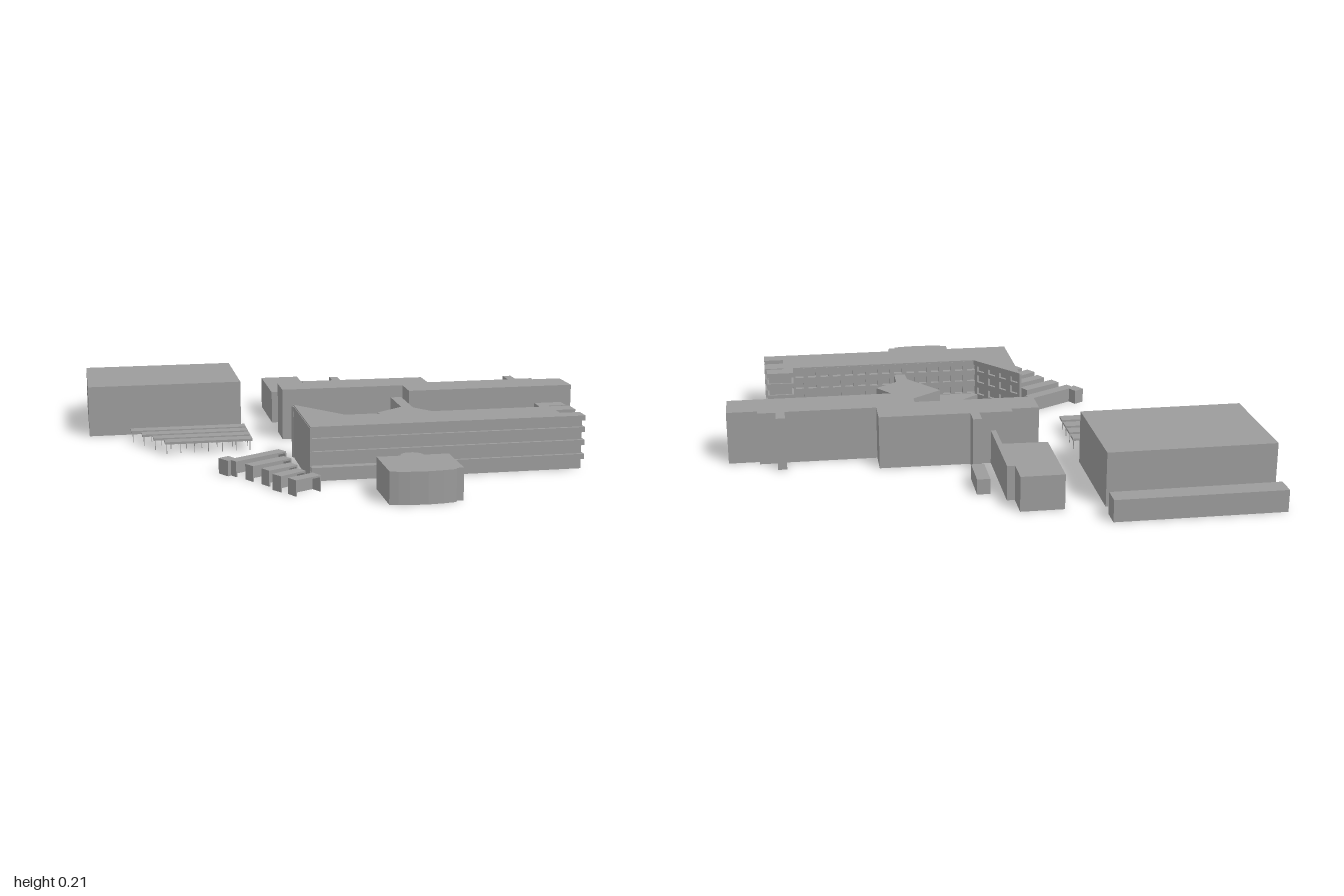
import * as THREE from 'three';

const material = new THREE.MeshStandardMaterial({ color: 0x9c9c9c, flatShading: true, side: THREE.DoubleSide });
const toPoints = outline => outline.map(([x, z]) => new THREE.Vector2(x, -z));

// Prism over a ground outline of [x, z] corners; open shells lose their underside.
function prism(parent, name, outline, y0, y1, { open = false, hole = null } = {}) {
  const shape = new THREE.Shape(toPoints(outline));
  if (hole) shape.holes.push(new THREE.Path(toPoints(hole)));
  let geo = new THREE.ExtrudeGeometry(shape, { depth: y1 - y0, bevelEnabled: false });
  geo.rotateX(-Math.PI / 2);
  if (open) {
    const p = geo.attributes.position.array, kept = [];
    for (let i = 0; i < p.length; i += 9) {
      if (Math.max(p[i + 1], p[i + 4], p[i + 7]) > 1e-5) kept.push(...p.slice(i, i + 9));
    }
    geo = new THREE.BufferGeometry();
    geo.setAttribute('position', new THREE.Float32BufferAttribute(kept, 3));
    geo.computeVertexNormals();
  }
  const mesh = new THREE.Mesh(geo, material);
  mesh.name = name;
  mesh.position.y = y0;
  parent.add(mesh);
}

const rect = (x0, x1, z0, z1) => [[x0, z0], [x1, z0], [x1, z1], [x0, z1]];
const shell = (parent, name, outline, h) => prism(parent, name, outline, 0, h, { open: true });

// Wall panel with a grid of square window openings, standing in the XY plane.
function windowWall(name, length, columns, thickness) {
  const wall = new THREE.Shape([[0, 0], [length, 0], [length, 0.205], [0, 0.205]].map(p => new THREE.Vector2(...p)));
  const step = length / columns;
  for (let c = 0; c < columns; c++) {
    for (const [y0, y1] of [[0.062, 0.092], [0.116, 0.147], [0.165, 0.187]]) {
      const x0 = step * (c + 0.18), x1 = step * (c + 0.82);
      wall.holes.push(new THREE.Path([[x0, y0], [x0, y1], [x1, y1], [x1, y0]].map(p => new THREE.Vector2(...p))));
    }
  }
  const mesh = new THREE.Mesh(new THREE.ExtrudeGeometry(wall, { depth: thickness, bevelEnabled: false }), material);
  mesh.name = name;
  return mesh;
}

function addMainBuilding(root) {
  const g = new THREE.Group();
  g.name = 'mainBuilding';
  // Outline with the notched east end and the stair bay, and the recessed storeys within it
  const outer = [[-0.21, 0.38], [0.73, 0.38], [0.73, 0.31], [0.84, 0.31], [0.84, 0.37], [0.77, 0.37], [0.77, 0.38],
    [0.85, 0.38], [0.85, 0.45], [0.77, 0.45], [0.77, 0.5], [0.85, 0.5], [0.85, 0.563], [-0.21, 0.563]];
  const body = [[-0.205, 0.4], [0.738, 0.4], [0.738, 0.318], [0.832, 0.318], [0.832, 0.362], [0.762, 0.362],
    [0.762, 0.388], [0.842, 0.388], [0.842, 0.442], [0.762, 0.442], [0.762, 0.508], [0.842, 0.508], [0.842, 0.55], [-0.205, 0.55]];
  shell(g, 'storeyWalls', body, 0.205);
  for (const top of [0.06, 0.115, 0.165]) prism(g, 'floorBand', outer, top - 0.02, top, { hole: body });
  prism(g, 'roof', outer, 0.19, 0.21);
  // Rear window facade
  const rear = windowWall('rearWindowWall', 0.79, 15, 0.018);
  rear.position.set(-0.06, 0, 0.379);
  g.add(rear);
  // Entrance canopy
  prism(g, 'frontCanopy', rect(-0.21, 0.085, 0.55, 0.585), 0.044, 0.06);
  // Pointed corner wing: plain end wall, windows along the slanted face
  shell(g, 'cornerWing', [[-0.208, 0.19], [-0.057, 0.385], [-0.208, 0.385]], 0.2);
  prism(g, 'cornerWingRoof', [[-0.21, 0.165], [-0.06, 0.36], [-0.045, 0.38], [-0.21, 0.38]], 0.19, 0.21);
  prism(g, 'plainEndWall', rect(-0.212, -0.204, 0.172, 0.561), 0, 0.205);
  const slanted = windowWall('slantedWindowWall', 0.26, 4, 0.012);
  slanted.rotation.y = -Math.atan2(0.195, 0.15);
  slanted.position.set(-0.21, 0, 0.165);
  g.add(slanted);
  root.add(g);
}

// Long shelter roof on a row of thin posts
function addShelter(root, x0, x1, z0, z1) {
  const g = new THREE.Group();
  g.name = 'shelter';
  prism(g, 'shelterRoof', rect(x0, x1, z0, z1), 0.044, 0.053);
  const bays = 6;
  for (let i = 0; i <= bays; i++) {
    const post = new THREE.Mesh(new THREE.BoxGeometry(0.003, 0.044, 0.003), material);
    post.name = 'shelterPost';
    post.position.set(x0 + 0.008 + (x1 - x0 - 0.016) * i / bays, 0.022, (z0 + z1) / 2);
    g.add(post);
  }
  root.add(g);
}

// Open-fronted hut running between two ground points
function addHut(root, [ax, az], [bx, bz]) {
  const g = new THREE.Group();
  g.name = 'hut';
  const len = Math.hypot(bx - ax, bz - az), w = 0.047;
  prism(g, 'hutRoof', rect(-len / 2, len / 2, -w / 2, w / 2), 0.053, 0.06);
  prism(g, 'hutRearWall', rect(-len / 2, len / 2, -w / 2, -w / 2 + 0.005), 0, 0.053);
  for (const s of [-1, 1]) {
    const x = s * (len / 2 - 0.0025);
    prism(g, 'hutEndWall', rect(x - 0.0025, x + 0.0025, -w / 2 + 0.005, w / 2), 0, 0.053);
  }
  g.position.set((ax + bx) / 2, 0, (az + bz) / 2);
  g.rotation.y = -Math.atan2(bz - az, bx - ax);
  root.add(g);
}

export function createModel() {
  const root = new THREE.Group();
  root.name = 'buildingComplex';

  addMainBuilding(root);

  // Large hall and low annex behind it
  shell(root, 'largeHall', [[-1, -0.785], [-0.36, -0.79], [-0.36, -0.34], [-1, -0.335]], 0.21);
  shell(root, 'rearAnnex', [[-1, -0.93], [-0.355, -0.93], [-0.355, -0.855], [-1, -0.85]], 0.085);

  // Rear wing in two staggered lengths
  shell(root, 'rearWing', [[-0.21, -0.27], [-0.1, -0.27], [-0.1, -0.3], [0.42, -0.295], [0.42, -0.18], [0.775, -0.18],
    [0.775, -0.255], [0.81, -0.255], [0.81, -0.185], [0.88, -0.185], [0.88, -0.16], [1, -0.16], [1, -0.015],
    [0.3, -0.015], [0.3, -0.135], [-0.21, -0.135]], 0.21);
  shell(root, 'stairTower', rect(0.03, 0.065, -0.37, -0.295), 0.21);

  // Small blocks and passage behind the rear wing
  shell(root, 'rearBlock', [[-0.21, -0.79], [-0.045, -0.79], [-0.045, -0.68], [-0.015, -0.68], [-0.015, -0.295],
    [-0.035, -0.295], [-0.035, -0.45], [-0.21, -0.455]], 0.135);
  shell(root, 'smallShed', rect(0.035, 0.085, -0.61, -0.455), 0.06);

  // Link between the wings, with the rotated hall and low lobby
  shell(root, 'linkHall', [[0.25, -0.135], [0.295, -0.135], [0.295, 0.075], [0.39, 0.21], [0.3, 0.28], [0.3, 0.385],
    [0.255, 0.385], [0.25, 0.31], [0.13, 0.145], [0.25, 0.055]], 0.16);
  prism(root, 'lowLobby', [[-0.06, 0.36], [0.155, 0.185], [0.25, 0.31], [0.255, 0.379], [-0.045, 0.379]], 0, 0.06);

  // Assembly hall with a rounded apse and a bowed front
  const apse = [];
  for (let i = 0; i <= 10; i++) {
    const t = Math.PI * (1 - i / 10);
    apse.push([0.143 + 0.044 * Math.cos(t), 0.693 - 0.043 * Math.sin(t)]);
  }
  shell(root, 'assemblyHall', [[0.01, 0.693], ...apse, [0.28, 0.693], [0.28, 0.9], [0.25, 0.9], [0.25, 0.915],
    [0.2, 0.923], [0.145, 0.927], [0.08, 0.922], [0.04, 0.915], [0.01, 0.905]], 0.12);

  // Row of shelters, each shorter than the last
  for (let i = 0; i < 4; i++) {
    const z = -0.222 + i * 0.074;
    addShelter(root, -0.833 + i * 0.041, -0.36, z, z + 0.053);
  }

  // Angled huts
  addHut(root, [-0.483, 0.416], [-0.275, 0.294]);
  addHut(root, [-0.43, 0.495], [-0.272, 0.406]);
  addHut(root, [-0.38, 0.572], [-0.264, 0.507]);
  addHut(root, [-0.35, 0.658], [-0.25, 0.593]);
  addHut(root, [-0.305, 0.722], [-0.205, 0.668]);
  shell(root, 'hutEndBox', [[-0.53, 0.37], [-0.49, 0.345], [-0.465, 0.39], [-0.5, 0.42]], 0.06);

  return root;
}
